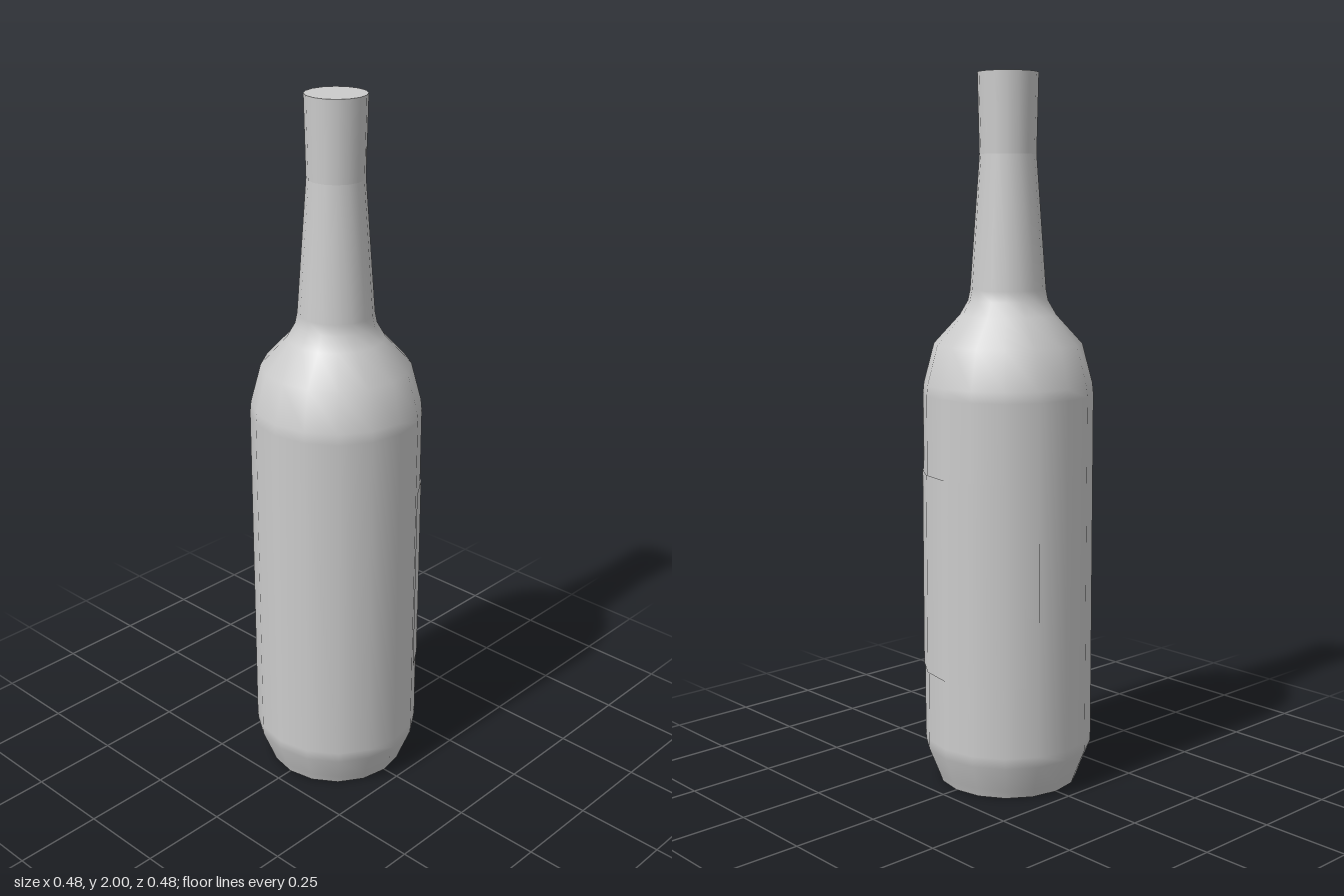
import * as THREE from 'three';

const SIDES = 16;

export function createModel() {
  const bottle = new THREE.Group();
  bottle.name = 'bottle';
  const material = new THREE.MeshStandardMaterial({ color: 0xcccccc });
  const thin = new THREE.MeshStandardMaterial({ color: 0xcccccc, side: THREE.DoubleSide });

  const add = (name, geometry, mat = material) => {
    const mesh = new THREE.Mesh(geometry, mat);
    mesh.name = name;
    bottle.add(mesh);
    return mesh;
  };
  // Smooth turned wall from [radius, height] pairs, bottom to top
  const turned = (profile, sides = SIDES, start = 0, sweep = Math.PI * 2) =>
    new THREE.LatheGeometry(profile.map(([r, y]) => new THREE.Vector2(r, y)), sides, start, sweep);

  // Body, shoulder and tapering neck
  add('body', turned([
    [0.2, 0], [0.209, 0.025], [0.239, 0.1], [0.24, 0.13], [0.24, 1.12], [0.237, 1.15],
    [0.208, 1.26], [0.135, 1.34], [0.112, 1.38], [0.106, 1.41], [0.079, 1.78],
  ]));

  // Mouth collar, flaring slightly
  add('collar', turned([[0.079, 1.78], [0.084, 2]]));

  // Flat ends
  const mouth = add('mouth', new THREE.CircleGeometry(0.084, SIDES));
  mouth.rotation.x = -Math.PI / 2;
  mouth.position.y = 2;
  const base = add('base', new THREE.CircleGeometry(0.2, SIDES));
  base.rotation.x = Math.PI / 2;

  // Thin label wrapped round the back, aligned with the body's facets
  const step = (Math.PI * 2) / SIDES;
  add('backLabel', turned([[0.243, 0.33], [0.243, 0.9]], 6, step * 5, step * 6), thin);

  return bottle;
}
